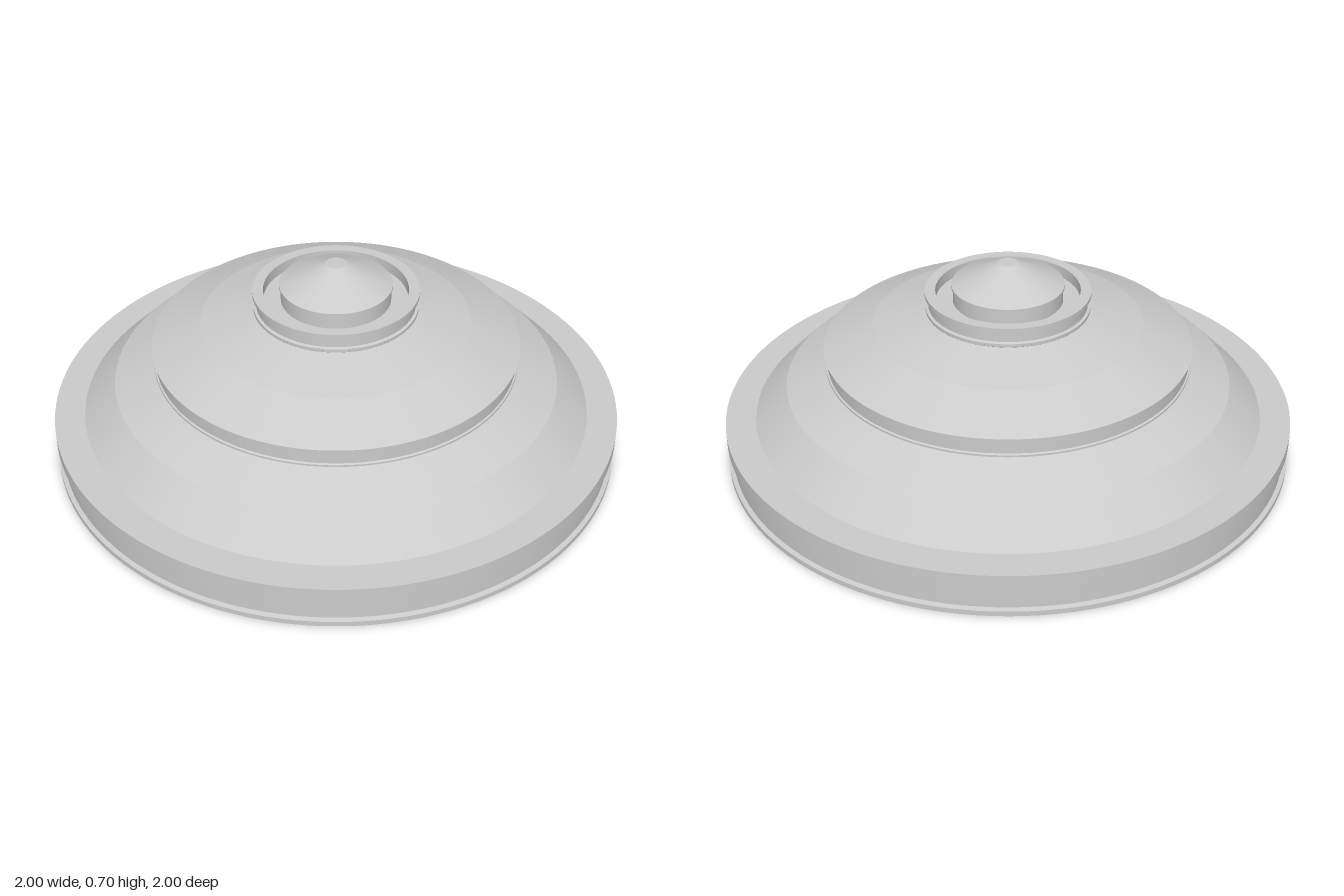
import * as THREE from 'three';
import { mergeGeometries } from 'three/addons/utils/BufferGeometryUtils.js';

const material = new THREE.MeshStandardMaterial({ color: 0xcccccc, side: THREE.DoubleSide });

// Turns a [radius, height] profile, outside upward then inside downward.
// Each profile edge is its own lathe: smooth around, sharp between bands.
function turned(name, profile) {
  const bands = [];
  for (let i = 0; i < profile.length - 1; i++) {
    const ends = [profile[i], profile[i + 1]].map(([r, y]) => new THREE.Vector2(r, y));
    bands.push(new THREE.LatheGeometry(ends, 128));
  }
  const mesh = new THREE.Mesh(mergeGeometries(bands), material);
  mesh.name = name;
  return mesh;
}

export function createModel() {
  const model = new THREE.Group();
  model.name = 'steppedDome';

  // Wide foot ring with a shallow groove and a flat shoulder
  model.add(turned('baseRing', [
    [0.935, 0], [1, 0], [1, 0.018], [0.985, 0.022], [0.985, 0.103], [1, 0.106],
    [1, 0.155], [0.89, 0.155], [0.845, 0.14], [0.93, 0.14], [0.93, 0.098],
    [0.92, 0.095], [0.92, 0.022], [0.935, 0.018], [0.935, 0],
  ]));

  // Lower two-slope shell
  model.add(turned('lowerDome', [
    [0.845, 0.14], [0.895, 0.155], [0.78, 0.27], [0.632, 0.335],
    [0.6, 0.316], [0.735, 0.25], [0.845, 0.14],
  ]));

  // Upright band between the two domes
  model.add(turned('middleBand', [
    [0.6, 0.316], [0.638, 0.335], [0.638, 0.342], [0.632, 0.345], [0.632, 0.4],
    [0.643, 0.404], [0.6, 0.387], [0.6, 0.316],
  ]));

  // Upper two-slope shell
  model.add(turned('upperDome', [
    [0.6, 0.387], [0.643, 0.405], [0.47, 0.48], [0.28, 0.53],
    [0.267, 0.503], [0.44, 0.452], [0.6, 0.387],
  ]));

  // Grooved collar with a recessed floor around the cap
  model.add(turned('collar', [
    [0.267, 0.503], [0.285, 0.53], [0.285, 0.541], [0.275, 0.544], [0.275, 0.584],
    [0.287, 0.587], [0.287, 0.6], [0.25, 0.6], [0.25, 0.56], [0.185, 0.56],
    [0.185, 0.545], [0.267, 0.545], [0.267, 0.503],
  ]));

  // Hollow conical cap with a small eave and flat tip
  model.add(turned('cap', [
    [0.183, 0.555], [0.19, 0.555], [0.19, 0.612], [0.195, 0.613], [0.195, 0.621],
    [0.035, 0.7], [0, 0.7],
  ]));
  model.add(turned('capInterior', [
    [0, 0.685], [0.033, 0.685], [0.183, 0.61], [0.183, 0.555],
  ]));

  return model;
}
